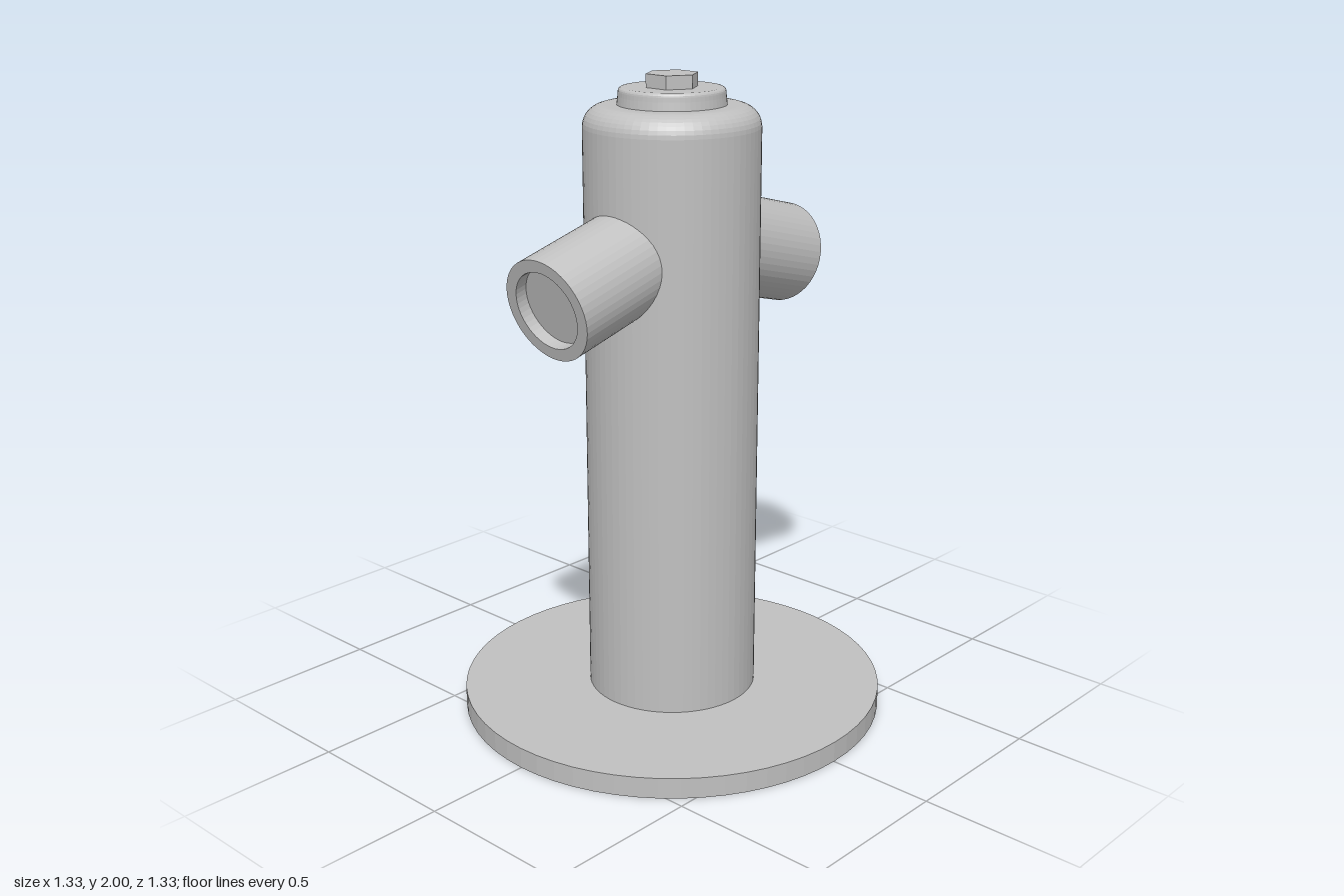
import * as THREE from 'three';

const SIDES = 64;

// Turned part with faceted sides; profile runs as [radius, height] pairs
function turned(name, profile, material, sides = SIDES) {
  const points = profile.map(([r, y]) => new THREE.Vector2(r, y));
  const geometry = new THREE.LatheGeometry(points, sides).toNonIndexed();
  geometry.computeVertexNormals();
  const mesh = new THREE.Mesh(geometry, material);
  mesh.name = name;
  return mesh;
}

// Quarter-round points from the side (r, y) up to the top (r - f, y + f)
function fillet(r, y, f, steps) {
  return Array.from({ length: steps + 1 }, (_, i) => {
    const a = (i / steps) * Math.PI / 2;
    return [r - f + f * Math.cos(a), y + f * Math.sin(a)];
  });
}

export function createModel() {
  const model = new THREE.Group();
  model.name = 'hydrant';
  const grey = new THREE.MeshStandardMaterial({ color: 0xc0c0c0 });
  grey.name = 'grey metal';

  // Ground flange
  model.add(turned('basePlate', [[0, 0], [0.665, 0], [0.665, 0.065], [0, 0.065]], grey));

  // Barrel with a rounded shoulder
  model.add(turned('barrel', [[0.265, 0.065], ...fillet(0.265, 1.845, 0.065, 8), [0, 1.91]], grey));

  // Top cap
  model.add(turned('cap', [[0.163, 1.91], [0.16, 1.935], ...fillet(0.159, 1.948, 0.012, 4), [0, 1.96]], grey));

  // Hexagonal operating nut
  const nut = new THREE.Mesh(new THREE.CylinderGeometry(0.08, 0.08, 0.04, 6).toNonIndexed(), grey);
  nut.geometry.computeVertexNormals();
  nut.name = 'hexNut';
  nut.position.y = 1.98;
  model.add(nut);

  // Outlets tilted downwards, each with a recessed mouth
  const tilt = THREE.MathUtils.degToRad(15);
  const length = 0.45;
  for (const side of [1, -1]) {
    const outlet = turned(side > 0 ? 'leftOutlet' : 'rightOutlet', [
      [0, 0], [0.158, 0], [0.158, length], [0.12, length], [0.12, length - 0.04], [0, length - 0.04],
    ], grey, 48);
    outlet.position.set(side * (0.52 - length * Math.cos(tilt)), 1.383 + length * Math.sin(tilt), 0);
    outlet.rotation.z = -side * (Math.PI / 2 + tilt);
    model.add(outlet);
  }
  return model;
}
